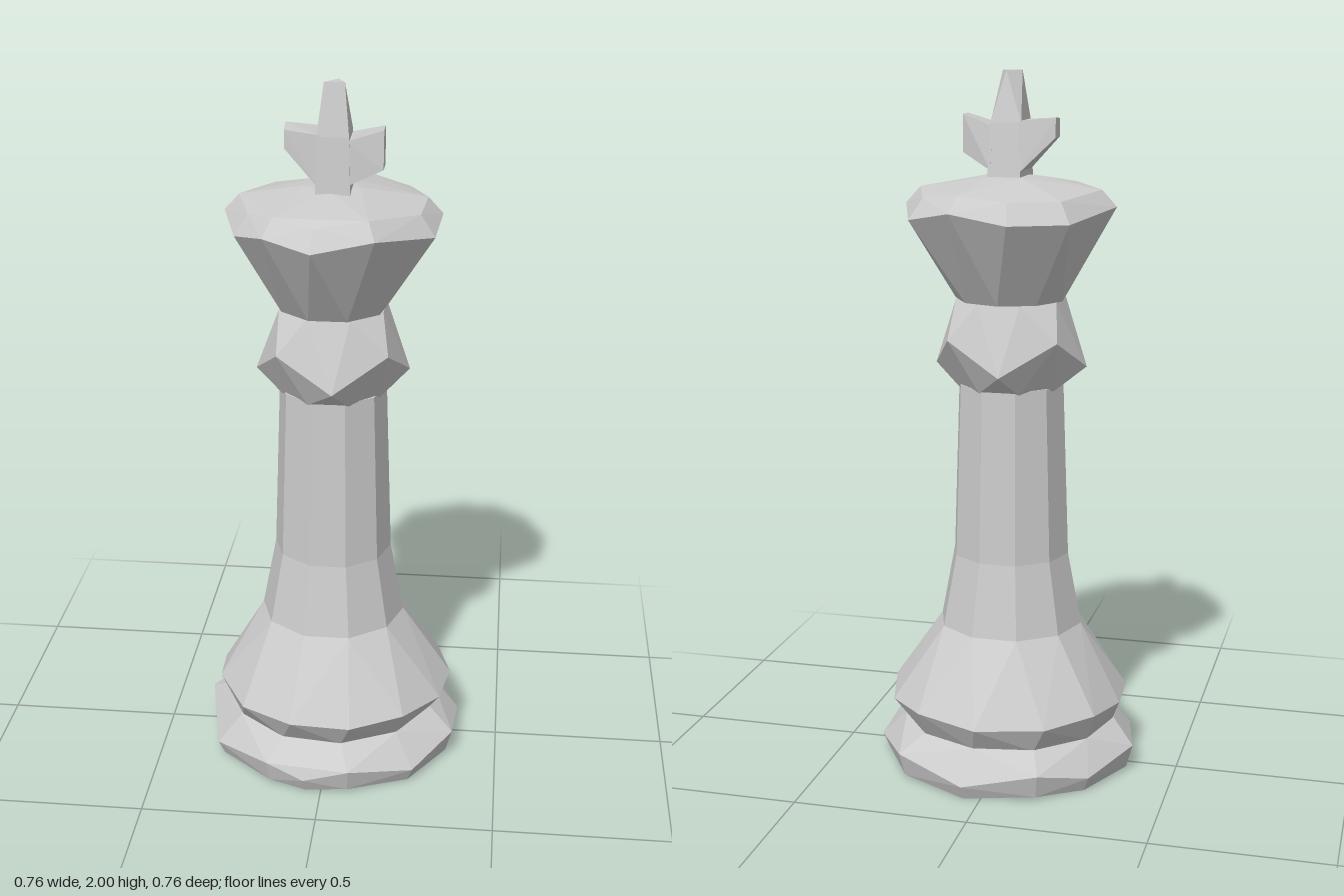
import * as THREE from 'three';
import { ConvexGeometry } from 'three/addons/geometries/ConvexGeometry.js';

const material = new THREE.MeshStandardMaterial({ color: 0xcccccc, flatShading: true });

// Regular ring of n points; lift alternates the height to give a zigzag edge
function ring(y, r, n, phase = 0, lift = 0) {
  return Array.from({ length: n }, (_, i) => {
    const a = ((i + phase) / n) * Math.PI * 2;
    return new THREE.Vector3(Math.sin(a) * r, y + (i % 2 ? lift : -lift), Math.cos(a) * r);
  });
}

// Hand-shaped ring from [x, z] pairs
function outline(y, pairs, scale = 1, lift = 0) {
  return pairs.map(([x, z], i) => new THREE.Vector3(x * scale, y + (i % 2 ? lift : -lift), z * scale));
}

const points = (list) => list.map((p) => new THREE.Vector3(...p));

// Every faceted section is the hull of its stacked rings
function section(name, ...rings) {
  const mesh = new THREE.Mesh(new ConvexGeometry(rings.flat()), material);
  mesh.name = name;
  return mesh;
}

const baseEdge = [
  [0.05, -0.38], [0.26, -0.285], [0.38, -0.07], [0.37, 0.13], [0.26, 0.29], [0.08, 0.377],
  [-0.05, 0.377], [-0.16, 0.35], [-0.325, 0.2], [-0.38, -0.06], [-0.285, -0.235], [-0.16, -0.34],
];
const footEdge = [
  [0.02, -0.35], [0.2, -0.29], [0.31, -0.17], [0.355, 0], [0.33, 0.135], [0.23, 0.27], [0.08, 0.34],
  [-0.09, 0.345], [-0.24, 0.25], [-0.33, 0.09], [-0.335, -0.04], [-0.29, -0.185], [-0.17, -0.3],
];
const headEdge = [
  [-0.06, -0.295], [0.1, -0.29], [0.235, -0.21], [0.3, -0.02], [0.285, 0.12], [0.135, 0.275],
  [-0.03, 0.308], [-0.16, 0.27], [-0.25, 0.16], [-0.3, 0], [-0.215, -0.22],
];

export function createModel() {
  const king = new THREE.Group();
  king.name = 'chessKing';

  // Base disc and flared foot
  king.add(section('base',
    outline(0.005, baseEdge, 0.95, 0.005),
    outline(0.06, baseEdge, 1, 0.018),
    ring(0.13, 0.31, 11, 0.3)));
  king.add(section('foot',
    ring(0.125, 0.305, 11, 0.3),
    outline(0.205, footEdge, 1, 0.005),
    ring(0.42, 0.21, 10, 0.5)));

  // Column in two tapers
  const waist = ring(0.63, 0.17, 10, 0.5);
  king.add(section('lowerColumn', ring(0.42, 0.21, 10, 0.5), waist));
  king.add(section('upperColumn', waist, ring(1.13, 0.153, 10, 0.5)));

  // Collar with a zigzag ridge
  king.add(section('collar',
    ring(1.12, 0.15, 8, 0.5),
    ring(1.225, 0.217, 8, 0.1, 0.045),
    ring(1.37, 0.157, 8, 0.5)));

  // Flared head with a shallow domed top
  king.add(section('head',
    ring(1.37, 0.157, 9, 0.5),
    outline(1.62, headEdge, 1, 0.014),
    outline(1.672, headEdge, 0.86, 0.008),
    ring(1.713, 0.08, 5)));

  // Cross: tapered upright and two uneven arms
  const cross = new THREE.Group();
  cross.name = 'cross';
  cross.add(section('crossUpright', points([
    [-0.04, 1.69, -0.06], [0.055, 1.69, -0.06], [0.055, 1.69, 0.095], [-0.04, 1.69, 0.095],
    [-0.037, 1.86, -0.034], [0.05, 1.86, -0.034], [0.05, 1.86, 0.08], [-0.037, 1.86, 0.08],
    [-0.02, 2, 0.05], [0.036, 2, 0.05], [0.015, 2, 0.005],
  ])));
  cross.add(section('rightArm', points([
    [-0.03, 1.72, -0.055], [-0.03, 1.72, 0.085], [-0.03, 1.865, -0.035], [-0.03, 1.865, 0.08],
    [-0.132, 1.82, -0.03], [-0.127, 1.82, 0.05], [-0.132, 1.875, -0.025], [-0.127, 1.87, 0.05],
  ])));
  cross.add(section('leftArm', points([
    [0.045, 1.73, -0.055], [0.045, 1.73, 0.085], [0.045, 1.85, -0.035], [0.045, 1.85, 0.08],
    [0.142, 1.775, 0.01], [0.142, 1.775, 0.08], [0.142, 1.88, 0.012], [0.142, 1.88, 0.07],
  ])));
  king.add(cross);

  return king;
}
